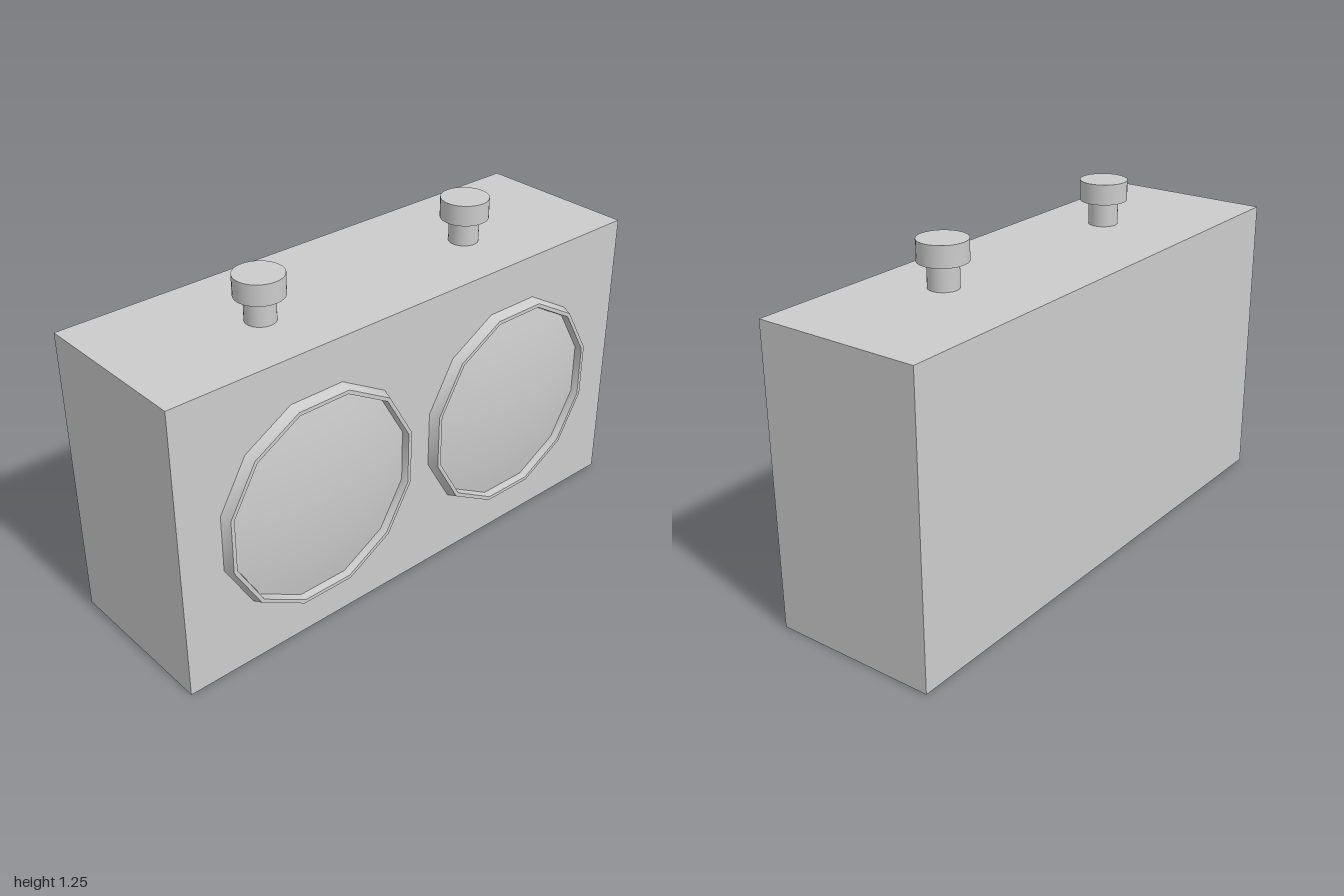
import * as THREE from 'three';
import { toCreasedNormals } from 'three/addons/utils/BufferGeometryUtils.js';

const material = new THREE.MeshStandardMaterial({ color: 0xcccccc });
const SIDES = 12;
const FRONT = 0.285; // z of the body's front face
const BACK = -0.33;
const HEIGHT = 1.09;

function addMesh(parent, name, geometry, x = 0, y = 0, z = 0) {
  const mesh = new THREE.Mesh(geometry, material);
  mesh.name = name;
  mesh.position.set(x, y, z);
  parent.add(mesh);
  return mesh;
}

// Twelve-sided turned shape facing +z, with flats at the top and the sides
function turned(points) {
  const profile = points.map(([r, h]) => new THREE.Vector2(r, h));
  return new THREE.LatheGeometry(profile, SIDES, Math.PI / SIDES).rotateX(Math.PI / 2);
}

// Dial: tapered bezel with an inner lip, around a shallow domed face
function createDial() {
  const dial = new THREE.Group();
  dial.name = 'dial';
  const bezel = turned([[0.406, 0], [0.393, 0.037], [0.379, 0.037], [0.374, 0.008]]);
  addMesh(dial, 'bezel', toCreasedNormals(bezel, 0.6));

  const dome = [];
  for (let i = 0; i <= 8; i++) {
    const r = 0.376 * (1 - i / 8);
    dome.push([r, 0.045 - 0.25 * r * r]);
  }
  addMesh(dial, 'dialFace', turned(dome));
  return dial;
}

// Push button: narrow stem under a wider cap
function createButton() {
  const button = new THREE.Group();
  button.name = 'button';
  addMesh(button, 'buttonStem', new THREE.CylinderGeometry(0.054, 0.054, 0.1, 32), 0, 0.045, 0);
  addMesh(button, 'buttonCap', new THREE.CylinderGeometry(0.087, 0.087, 0.075, 32), 0, 0.1275, 0);
  return button;
}

export function createModel() {
  const model = new THREE.Group();
  model.name = 'twinDialClock';

  addMesh(model, 'body', new THREE.BoxGeometry(2, HEIGHT, FRONT - BACK),
    0, HEIGHT / 2, (FRONT + BACK) / 2);

  for (const x of [-0.447, 0.443]) {
    const dial = createDial();
    dial.position.set(x, 0.535, FRONT);
    model.add(dial);
  }

  for (const x of [-0.462, 0.45]) {
    const button = createButton();
    button.position.set(x, HEIGHT, 0.027);
    model.add(button);
  }
  return model;
}
